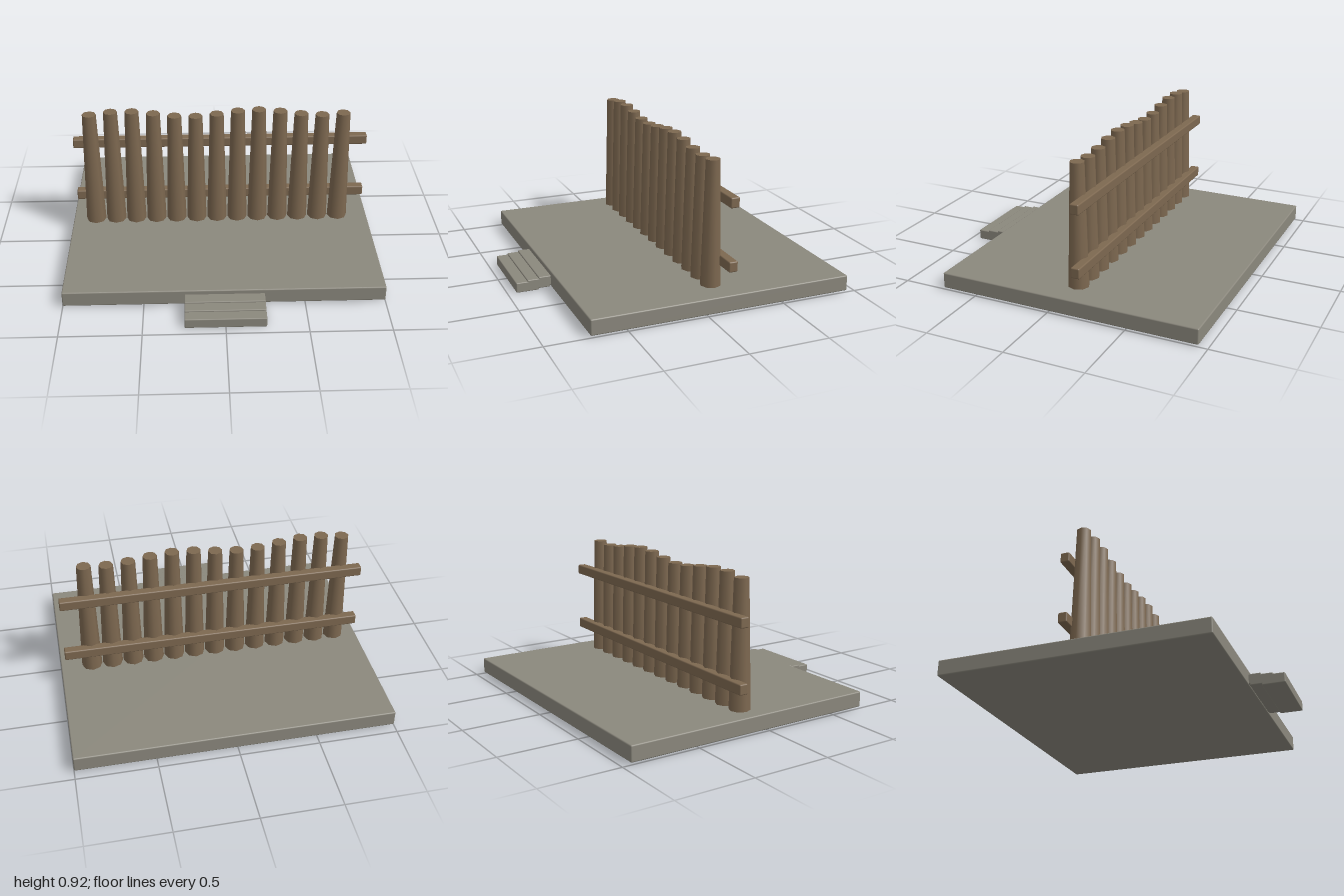
import * as THREE from 'three';
import { RoundedBoxGeometry } from 'three/addons/geometries/RoundedBoxGeometry.js';

export function createModel() {
  const stone = new THREE.MeshStandardMaterial({ name: 'grey stone', color: 0x8b887d });
  const wood = new THREE.MeshStandardMaterial({ name: 'brown wood', color: 0x7d6850 });
  const model = new THREE.Group();
  model.name = 'palisade';

  // Softly bevelled box given by its limits on each axis
  function block(name, material, [x0, x1], [y0, y1], [z0, z1], bevel) {
    const geometry = new RoundedBoxGeometry(x1 - x0, y1 - y0, z1 - z0, 2, bevel);
    const mesh = new THREE.Mesh(geometry, material);
    mesh.position.set((x0 + x1) / 2, (y0 + y1) / 2, (z0 + z1) / 2);
    mesh.name = name;
    model.add(mesh);
  }

  // Ground slab
  block('slab', stone, [-1, 1], [0.01, 0.11], [-0.945, 0.725], 0.008);

  // Three overlapping shallow steps, lowest at the front
  for (let i = 0; i < 3; i++) {
    const front = 0.945 - i * 0.072;
    const bottom = i * 0.009;
    block('step' + (i + 1), stone, [-0.248, 0.248], [bottom, bottom + 0.064], [front - 0.143, front], 0.006);
  }

  // Tapered posts with gently waving heights
  const posts = new THREE.Group();
  posts.name = 'posts';
  for (let i = 0; i < 13; i++) {
    const top = 0.904 + 0.021 * Math.sin(i);
    const height = top - 0.105;
    const post = new THREE.Mesh(new THREE.CylinderGeometry(0.045, 0.066, height, 8), wood);
    post.name = 'post' + (i + 1);
    post.position.set(-0.847 + i * 0.137, top - height / 2, -0.107);
    posts.add(post);
  }
  model.add(posts);

  // Rails along the back of the posts
  block('lowerRail', wood, [-0.97, 0.97], [0.24, 0.306], [-0.199, -0.142], 0.008);
  block('upperRail', wood, [-0.97, 0.97], [0.636, 0.7], [-0.199, -0.142], 0.008);

  return model;
}
